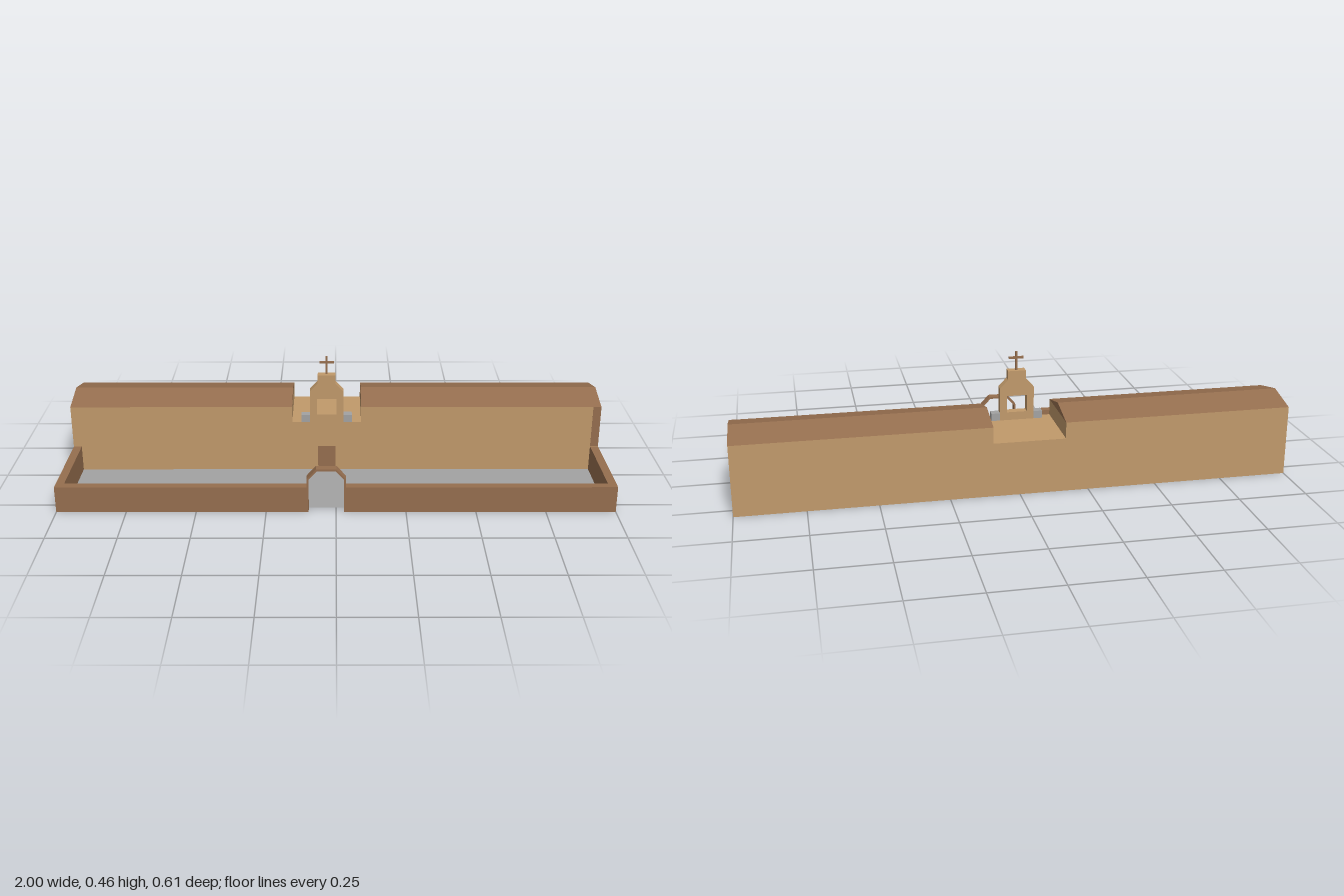
import * as THREE from 'three';

const material = (name, color, side = THREE.FrontSide) => {
  const m = new THREE.MeshStandardMaterial({ color, side });
  m.name = name;
  return m;
};

export function createModel() {
  const model = new THREE.Group();
  model.name = 'missionWithCourtyard';
  const tan = material('tan plaster', 0xc19a6b);
  const tanShell = material('tan plaster shell', 0xc19a6b, THREE.DoubleSide);
  const brown = material('brown adobe', 0x966f4f);
  const grey = material('grey stone', 0xa3a3a3);
  const paving = material('grey paving', 0xa3a3a3, THREE.DoubleSide);

  const add = (name, geometry, mat, parent = model) => {
    const mesh = new THREE.Mesh(geometry, mat);
    mesh.name = name;
    parent.add(mesh);
    return mesh;
  };
  // box given by its minimum and maximum corners
  const box = (name, mat, x0, x1, y0, y1, z0, z1, parent) =>
    add(name, new THREE.BoxGeometry(x1 - x0, y1 - y0, z1 - z0), mat, parent)
      .position.set((x0 + x1) / 2, (y0 + y1) / 2, (z0 + z1) / 2);
  const shape = (points) => new THREE.Shape(points.map(([x, y]) => new THREE.Vector2(x, y)));
  const extrude = (s, depth) => new THREE.ExtrudeGeometry(s, { depth, bevelEnabled: false });

  const front = -0.048, back = -0.306, eaves = 0.26, ridge = 0.29, terrace = 0.2;
  const gapL = -0.165, gapR = 0.095, cx = -0.035;

  // long front and back walls, open underneath, lowered in the middle
  const outline = [[-1, 0], [1, 0], [1, eaves], [gapR, eaves], [gapR, terrace],
    [gapL, terrace], [gapL, eaves], [-1, eaves]];
  for (const [name, z] of [['frontWall', front], ['backWall', back]]) {
    add(name, new THREE.ShapeGeometry(shape(outline)), tanShell).position.z = z;
  }

  // end walls and the short walls beside the terrace
  const depth = front - back, midZ = (front + back) / 2;
  for (const [name, x, y0, turn] of [['endWallRight', -1, 0, -1], ['endWallLeft', 1, 0, 1],
    ['terraceWallRight', gapL, terrace, 1], ['terraceWallLeft', gapR, terrace, -1]]) {
    const wall = add(name, new THREE.PlaneGeometry(depth, eaves - y0), tanShell);
    wall.rotation.y = turn * Math.PI / 2;
    wall.position.set(x, (eaves + y0) / 2, midZ);
  }
  const floor = add('terraceFloor', new THREE.PlaneGeometry(gapR - gapL, depth), tanShell);
  floor.rotation.x = -Math.PI / 2;
  floor.position.set((gapL + gapR) / 2, terrace, midZ);

  // pitched roofs over both wings
  for (const [name, x0, x1] of [['roofRight', -1, gapL], ['roofLeft', gapR, 1]]) {
    const roof = add(name, extrude(shape([[-front, eaves], [-back, eaves], [-midZ, ridge]]), x1 - x0), brown);
    roof.rotation.y = Math.PI / 2;
    roof.position.x = x0;
  }

  // door and corner strip
  box('door', brown, cx - 0.033, cx + 0.033, 0, 0.1, front - 0.002, front + 0.002);
  box('cornerStrip', brown, 0.97, 1, 0.1, eaves, front - 0.001, front + 0.001);

  // bell gable with an opening, shoulders and a cross
  const belfry = new THREE.Group();
  belfry.name = 'bellGable';
  model.add(belfry);
  const gable = shape([[-0.063, terrace], [0.063, terrace], [0.063, 0.323], [0.033, 0.355],
    [0.033, 0.388], [-0.033, 0.388], [-0.033, 0.355], [-0.063, 0.323], [-0.063, terrace]]);
  gable.holes.push(shape([[-0.037, 0.23], [-0.037, 0.293], [0.037, 0.293], [0.037, 0.23]]));
  add('gableWall', extrude(gable, 0.032), tan, belfry).position.set(cx, 0, -0.08);
  for (const side of [-1, 1]) {
    const a = cx + side * 0.063, b = cx + side * 0.095;
    box('gableShoulder', grey, Math.min(a, b), Math.max(a, b), terrace, 0.228, -0.08, front, belfry);
  }
  box('crossPost', brown, cx - 0.004, cx + 0.004, 0.388, 0.458, -0.068, -0.06, belfry);
  box('crossArm', brown, cx - 0.027, cx + 0.027, 0.43, 0.438, -0.068, -0.06, belfry);

  // courtyard walls and paving
  const top = 0.098, edge = 0.306, inner = 0.275, half = 0.07;
  for (const side of [-1, 1]) {
    const a = side * 0.97, b = side;
    box('courtyardSideWall', brown, Math.min(a, b), Math.max(a, b), 0, top, front, inner);
  }
  box('courtyardFrontWallRight', brown, -1, cx - half, 0, top, inner, edge);
  box('courtyardFrontWallLeft', brown, cx + half, 1, 0, top, inner, edge);
  const ground = add('courtyardPaving', new THREE.PlaneGeometry(1.94, inner - front), paving);
  ground.rotation.x = -Math.PI / 2;
  ground.position.set(0, 0.002, (inner + front) / 2);

  // faceted gateway arch in the front wall
  const t = 0.007;
  const gate = shape([[-half, 0], [-half, 0.13], [-0.036, 0.168], [0.036, 0.168], [half, 0.13], [half, 0],
    [half - t, 0], [half - t, 0.128], [0.033, 0.161], [-0.033, 0.161], [t - half, 0.128], [t - half, 0]]);
  add('gatewayArch', extrude(gate, edge - inner), brown).position.set(cx, 0, inner);

  return model;
}
